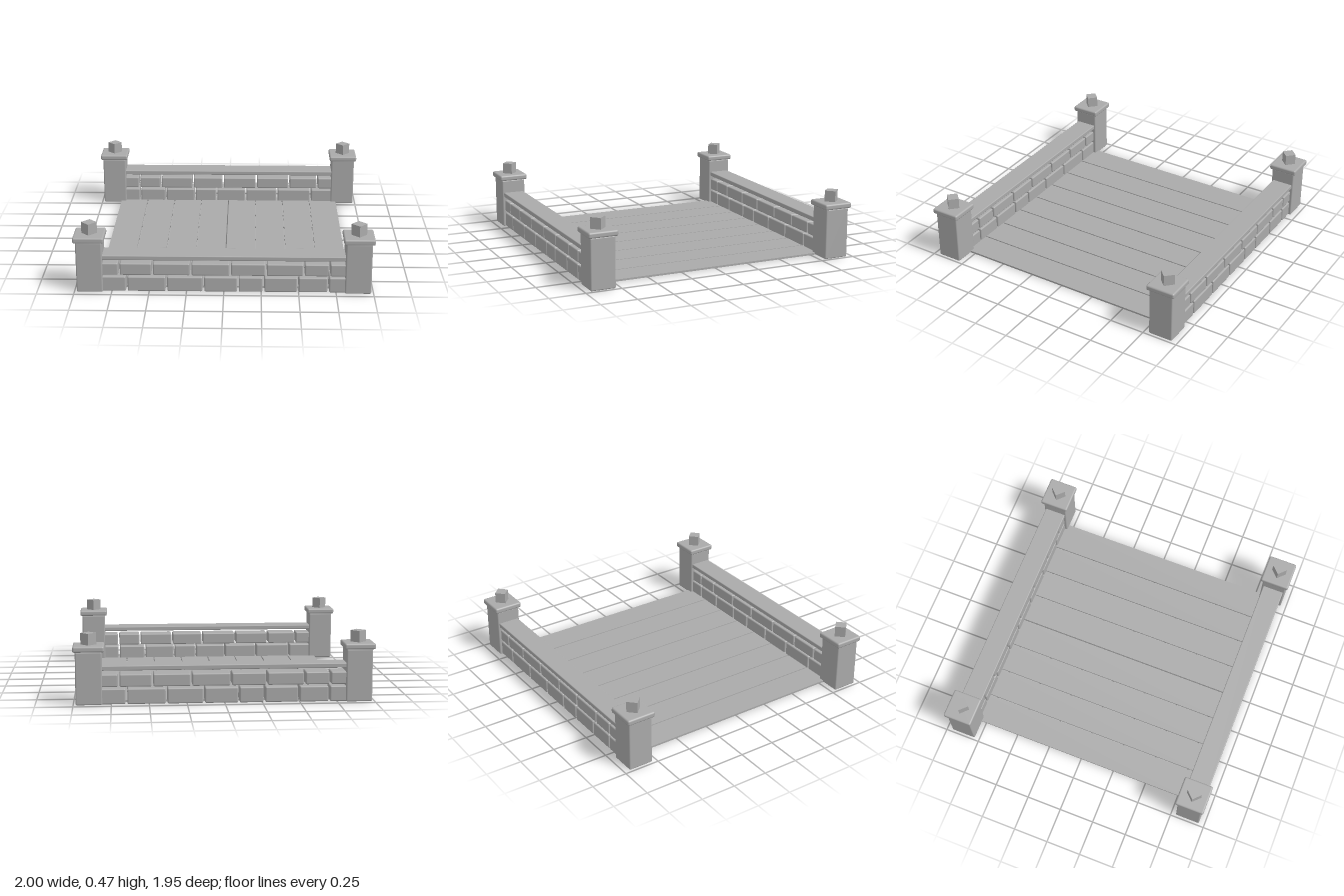
import * as THREE from 'three';
import { RoundedBoxGeometry } from 'three/addons/geometries/RoundedBoxGeometry.js';

const stone = new THREE.MeshStandardMaterial({ color: 0xaaaaaa });
stone.name = 'stone grey';

// Box spanning [x0,x1] x [y0,y1] x [z0,z1], with softened edges when radius > 0
function block(parent, name, [x0, x1], [y0, y1], [z0, z1], radius = 0) {
  const w = x1 - x0, h = y1 - y0, d = z1 - z0;
  const geometry = radius > 0
    ? new RoundedBoxGeometry(w, h, d, 2, radius)
    : new THREE.BoxGeometry(w, h, d);
  const mesh = new THREE.Mesh(geometry, stone);
  mesh.name = name;
  mesh.position.set((x0 + x1) / 2, (y0 + y1) / 2, (z0 + z1) / 2);
  parent.add(mesh);
  return mesh;
}

// Square post with an overhanging cap and a diamond-turned finial
function makePost(x) {
  const post = new THREE.Group();
  post.name = 'post';
  const half = 0.0875, cap = 0.1035;
  block(post, 'postShaft', [-half, half], [0, 0.353], [-half, half], 0.009);
  block(post, 'postCap', [-cap, cap], [0.352, 0.392], [-cap, cap], 0.012);
  const finial = block(post, 'finial', [-0.037, 0.037], [0.385, 0.469], [-0.037, 0.037]);
  finial.rotation.y = Math.PI / 4;
  post.position.x = x;
  return post;
}

// Brick rows: vertical span and the x positions of the joints
const rows = [
  { y: [0, 0.104], joints: [-0.83, -0.65, -0.385, -0.137, 0.094, 0.265, 0.495, 0.698, 0.83] },
  { y: [0.116, 0.2], joints: [-0.83, -0.7, -0.478, -0.221, 0.043, 0.281, 0.534, 0.704, 0.83] },
];

// One parapet: two posts, two brick courses and a coping slab
function makeParapet(name) {
  const parapet = new THREE.Group();
  parapet.name = name;
  for (const x of [-0.8965, 0.8965]) parapet.add(makePost(x));
  for (const { y, joints } of rows) {
    for (let i = 0; i < joints.length - 1; i++) {
      block(parapet, 'brick', [joints[i] + 0.006, joints[i + 1] - 0.006], y, [-0.068, 0.068], 0.009);
    }
  }
  block(parapet, 'copingSlab', [-0.83, 0.83], [0.227, 0.259], [-0.076, 0.076], 0.006);
  return parapet;
}

export function createModel() {
  const model = new THREE.Group();
  model.name = 'bridge';

  // Deck of eight planks
  const pitch = 0.2132, gap = 0.008;
  for (let i = 0; i < 8; i++) {
    const x = (i - 4) * pitch;
    block(model, 'deckPlank', [x + gap / 2, x + pitch - gap / 2], [0, 0.013], [-0.87, 0.87]);
  }

  // Matching parapets, the back one turned half a revolution
  const front = makeParapet('frontParapet');
  front.position.z = 0.872;
  const back = makeParapet('backParapet');
  back.position.z = -0.872;
  back.rotation.y = Math.PI;
  model.add(front, back);

  return model;
}
